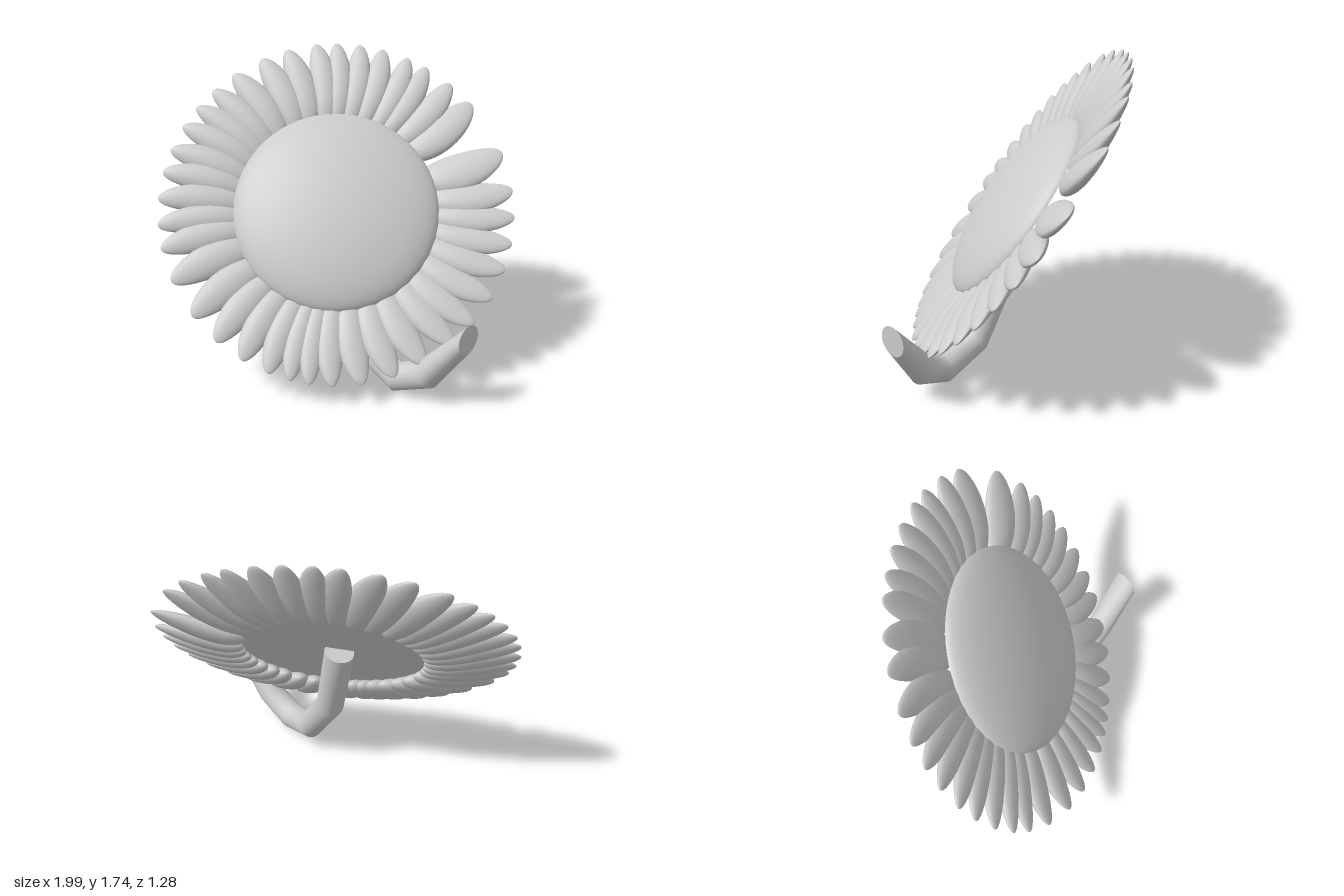
import * as THREE from 'three';

const material = new THREE.MeshStandardMaterial({ color: 0xcccccc });

// Clockwise directions of the petals around the head, in degrees
const PETAL_ANGLES = [
  1, 9, 17, 26, 33, 43, 53, 73, 86, 95, 104, 113, 123, 133, 142, 153, 163, 173, 182, 189,
  195, 202, 211, 221, 232, 245, 256, 264, 273, 282, 290, 299, 307, 315, 324, 335, 344, 354,
];

// Puffy leaf shape along y: a flattened ball, thick at the root, thin and slightly curved at the tip
function petalGeometry() {
  const geo = new THREE.SphereGeometry(1, 20, 20);
  const pos = geo.attributes.position;
  for (let i = 0; i < pos.count; i++) {
    const t = pos.getY(i);
    pos.setXYZ(
      i,
      pos.getX(i) * 0.086 * (1 - 0.08 * t) - 0.02 * t * t + 0.01,
      t * 0.255,
      pos.getZ(i) * 0.048 * (1 - 0.35 * t),
    );
  }
  geo.computeVertexNormals();
  return geo;
}

// Domed seed disc with a flat back
function createDisc() {
  const disc = new THREE.Group();
  disc.name = 'seedDisc';
  const radius = 0.575;
  const profile = [];
  for (let i = 0; i <= 20; i++) {
    const a = (i / 20) * Math.PI / 2;
    profile.push(new THREE.Vector2(radius * Math.cos(a), 0.145 * Math.pow(Math.sin(a), 1.15)));
  }
  profile[20].x = 0;
  const dome = new THREE.Mesh(new THREE.LatheGeometry(profile, 64).rotateX(Math.PI / 2), material);
  dome.name = 'discDome';
  const back = new THREE.Mesh(new THREE.CircleGeometry(radius, 64).rotateY(Math.PI), material);
  back.name = 'discBack';
  disc.add(dome, back);
  disc.position.set(0, -0.021, -0.022);
  return disc;
}

// Hooked stem: a capped cylinder whose rings follow a path in one upright plane
function createStem() {
  const path = [
    [-0.03, 0.92, -0.085], [0.04, 0.46, 0.035], [0.185, 0.168, 0.18],
    [0.335, 0.083, 0.35], [0.485, 0.168, 0.455], [0.665, 0.435, 0.58],
  ].map((p) => new THREE.Vector3(...p));
  const last = path.length - 1;
  const side = new THREE.Vector3(1, 0, -1).normalize();
  const rings = path.map((p, i) => {
    const tangent = new THREE.Vector3();
    if (i > 0) tangent.add(p.clone().sub(path[i - 1]).normalize());
    if (i < last) tangent.add(path[i + 1].clone().sub(p).normalize());
    if (i === last) tangent.set(1, 0, 1); // upright cut at the free end
    return { p, across: new THREE.Vector3().crossVectors(tangent, side).normalize() };
  });
  const geo = new THREE.CylinderGeometry(0.082, 0.082, 1, 32, last);
  const pos = geo.attributes.position;
  const v = new THREE.Vector3();
  for (let i = 0; i < pos.count; i++) {
    const ring = rings[Math.round((0.5 - pos.getY(i)) * last)];
    v.copy(ring.p).addScaledVector(side, pos.getX(i)).addScaledVector(ring.across, pos.getZ(i));
    pos.setXYZ(i, v.x, v.y, v.z);
  }
  geo.computeVertexNormals();
  const stem = new THREE.Mesh(geo, material);
  stem.name = 'stem';
  return stem;
}

export function createModel() {
  const model = new THREE.Group();
  model.name = 'flower';

  // Flower head, leaning back
  const head = new THREE.Group();
  head.name = 'flowerHead';
  head.position.set(0, 0.94, -0.05);
  head.rotation.x = -0.635;
  head.add(createDisc());

  // Ring of petals, roots tucked behind the disc; wider where they stand further apart
  const petalGeo = petalGeometry();
  const count = PETAL_ANGLES.length;
  PETAL_ANGLES.forEach((deg, i) => {
    const before = PETAL_ANGLES[(i + count - 1) % count];
    const after = PETAL_ANGLES[(i + 1) % count];
    const gap = ((after - before + 360) % 360) / 2;
    const arm = new THREE.Group();
    arm.name = `petalArm${i + 1}`;
    arm.rotation.z = -THREE.MathUtils.degToRad(deg);
    const petal = new THREE.Mesh(petalGeo, material);
    petal.name = `petal${i + 1}`;
    petal.position.set(0, 0.742, -0.037);
    petal.rotation.set(0.14, -0.12, 0);
    petal.scale.x = Math.sqrt(gap / 9.5);
    arm.add(petal);
    head.add(arm);
  });

  model.add(head, createStem());
  return model;
}
